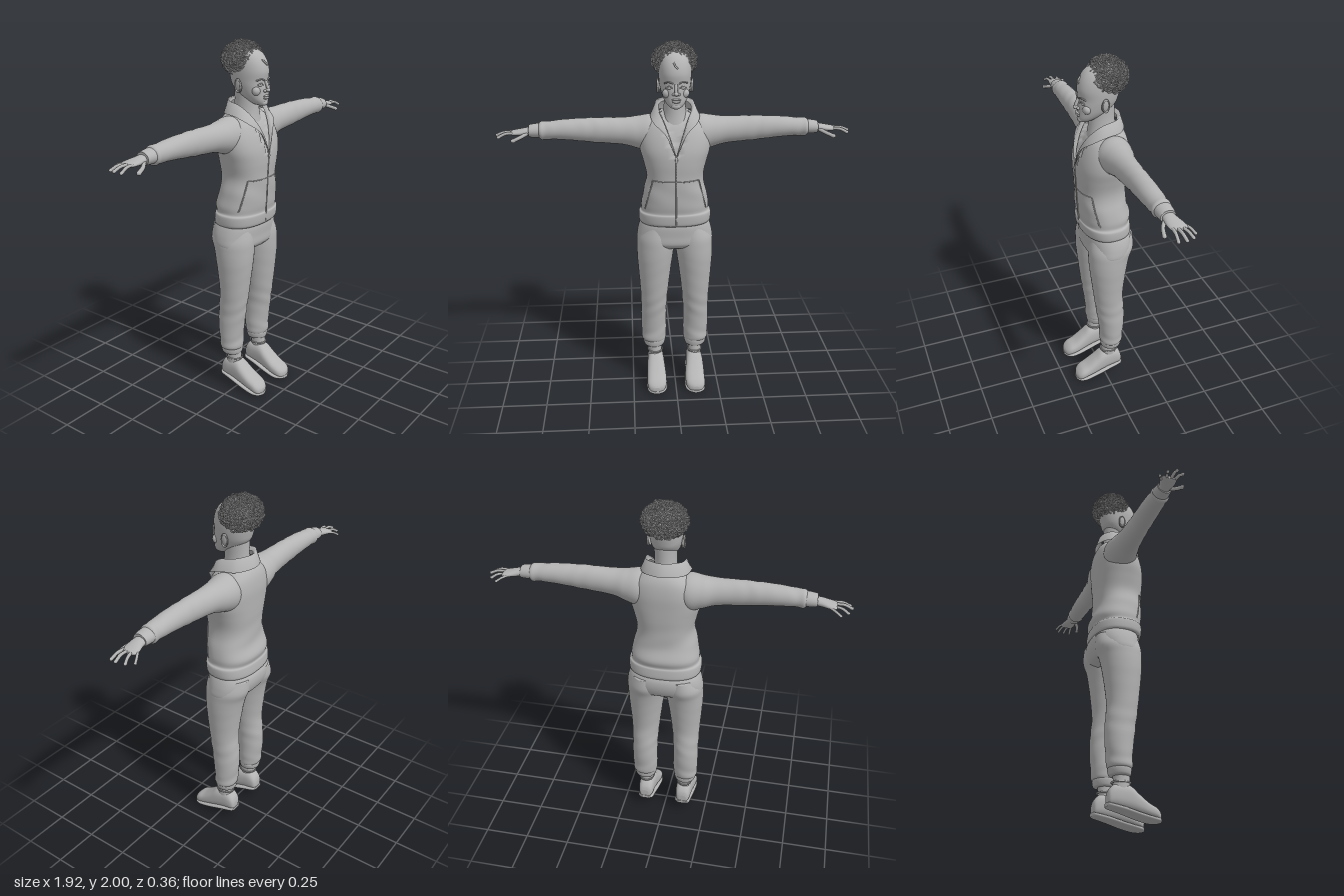
import * as THREE from 'three';
import { mergeGeometries } from 'three/addons/utils/BufferGeometryUtils.js';

const grey = new THREE.MeshStandardMaterial({ color: 0xb4b4b4, side: THREE.DoubleSide });
grey.name = 'plain grey';
const V = (x, y, z) => new THREE.Vector3(x, y, z);

// Smooth interpolation through section rows [t, u0, u1, v0, v1]
function resample(rows, steps) {
  const out = [], last = rows.length - 1;
  for (let i = 0; i < last; i++) {
    const [a, b, c, d] = [rows[Math.max(i - 1, 0)], rows[i], rows[i + 1], rows[Math.min(i + 2, last)]];
    for (let s = 0; s < steps; s++) {
      const k = s / steps;
      out.push(b.map((_, j) => b[j] + 0.5 * k * (c[j] - a[j] +
        k * (2 * a[j] - 5 * b[j] + 4 * c[j] - d[j] + k * (3 * (b[j] - c[j]) + d[j] - a[j])))));
    }
  }
  out.push(rows[last]);
  return out;
}

// Closed skin over rounded cross-sections; place(t, u, v) gives the point in space
function loft(rows, place, { n = 36, steps = 6, pow = 1, fold = () => 0, shape = p => p } = {}) {
  const rings = resample(rows, steps), pos = [], idx = [];
  const bend = c => Math.sign(c) * Math.abs(c) ** pow;
  rings.forEach(([t, u0, u1, v0, v1]) => {
    for (let i = 0; i < n; i++) {
      const a = i / n * Math.PI * 2, r = 1 + fold(t, a);
      const p = place(t, (u0 + u1) / 2 + (u1 - u0) / 2 * r * bend(Math.cos(a)),
        (v0 + v1) / 2 + (v1 - v0) / 2 * r * bend(Math.sin(a)));
      pos.push(...shape(p));
    }
  });
  const m = rings.length;
  for (let j = 0; j < m - 1; j++) for (let i = 0; i < n; i++) {
    const a = j * n + i, b = j * n + (i + 1) % n;
    idx.push(a, a + n, b, b, a + n, b + n);
  }
  [0, m - 1].forEach(j => {
    const [t, u0, u1, v0, v1] = rings[j], c = pos.length / 3;
    pos.push(...place(t, (u0 + u1) / 2, (v0 + v1) / 2));
    for (let i = 0; i < n; i++) {
      const a = j * n + i, b = j * n + (i + 1) % n;
      j ? idx.push(a, c, b) : idx.push(a, b, c);
    }
  });
  // Turn the skin outward when its enclosed volume comes out negative
  let vol = 0;
  const at = i => V(pos[3 * i], pos[3 * i + 1], pos[3 * i + 2]);
  for (let i = 0; i < idx.length; i += 3) vol += at(idx[i]).dot(at(idx[i + 1]).cross(at(idx[i + 2])));
  if (vol < 0) for (let i = 0; i < idx.length; i += 3) [idx[i], idx[i + 1]] = [idx[i + 1], idx[i]];
  const g = new THREE.BufferGeometry();
  g.setAttribute('position', new THREE.Float32BufferAttribute(pos, 3));
  g.setIndex(idx);
  g.computeVertexNormals();
  return g;
}

const upright = (t, u, v) => [u, t, v];
const sym = rows => rows.map(([y, w, zb, zf]) => [y, -w, w, zb, zf]);

// Jacket sections: height, half width, back, front
const jacketRows = sym([[1.015, .19, -.16, .098], [1.03, .2, -.168, .108], [1.075, .2, -.164, .112], [1.09, .187, -.158, .106],
  [1.13, .187, -.166, .112], [1.2, .172, -.145, .117], [1.29, .156, -.142, .12], [1.37, .172, -.147, .125],
  [1.44, .19, -.15, .122], [1.51, .19, -.152, .105], [1.57, .165, -.145, .08], [1.61, .12, -.13, .05], [1.64, .075, -.105, .035]]);
const jacketPow = .85;

// Front surface of the jacket at (x, y)
function onJacket(x, y) {
  const i = Math.max(1, jacketRows.findIndex(r => r[0] >= y));
  const a = jacketRows[i - 1], b = jacketRows[i], k = (y - a[0]) / (b[0] - a[0]);
  const [, , w, zb, zf] = a.map((v, j) => v + (b[j] - v) * k);
  const c = Math.min(1, Math.abs(x / w)) ** (1 / jacketPow);
  return V(x, y, (zb + zf) / 2 + (zf - zb) / 2 * Math.sqrt(1 - c * c) ** jacketPow);
}

export function createModel() {
  const root = new THREE.Group();
  const add = (name, geo, parent = root) => {
    const mesh = new THREE.Mesh(geo, grey);
    mesh.name = name;
    parent.add(mesh);
    return mesh;
  };
  const group = name => { const g = new THREE.Group(); g.name = name; root.add(g); return g; };
  const blob = (name, p, r, parent, tilt = 0) => {
    const m = add(name, new THREE.SphereGeometry(1, 18, 12), parent);
    m.position.set(...p); m.scale.set(...r); m.rotation.z = tilt;
    return m;
  };
  const cord = (name, pts, r, parent) =>
    add(name, new THREE.TubeGeometry(new THREE.CatmullRomCurve3(pts), 24, r, 6), parent);

  // Jacket body with the chest set back inside the open V
  const jacket = group('jacket');
  add('jacketBody', loft(jacketRows, upright, {
    n: 64, pow: jacketPow,
    fold: (y, a) => y < 1.09 ? 0 : .012 * Math.sin(y * 46 + 4 * Math.cos(a)) * Math.max(0, 1 - Math.abs(y - 1.22) / .14),
    shape: ([x, y, z]) => [x, y, z > 0 && y > 1.42 && Math.abs(x) < (y - 1.42) * .4 ? z - .018 : z],
  }), jacket);
  const line = (x0, y0, x1, y1) => Array.from({ length: 9 }, (_, i) => onJacket(x0 + (x1 - x0) * i / 8, y0 + (y1 - y0) * i / 8));
  cord('zip', line(0, 1.03, 0, 1.43), .004, jacket);
  blob('zipPull', [0, 1.405, .128], [.007, .018, .005], jacket);
  cord('pocketTop', line(-.125, 1.28, .125, 1.28), .003, jacket);
  for (const s of [-1, 1]) cord('pocketEdge', line(s * .125, 1.28, s * .168, 1.11), .004, jacket);

  // Collar: a folded ribbon running from the zip, round the neck and back
  const both = half => [...half.map(p => V(...p)), ...half.slice(0, -1).reverse().map(([x, y, z]) => V(-x, y, z))];
  const edges = [
    [[0, 1.42, .125], [.032, 1.52, .1], [.062, 1.6, .06], [.085, 1.65, .01], [.075, 1.675, -.065], [0, 1.68, -.1]],
    [[.002, 1.42, .13], [.036, 1.525, .118], [.07, 1.61, .078], [.102, 1.672, .018], [.09, 1.693, -.075], [0, 1.697, -.118]],
    [[.004, 1.42, .128], [.055, 1.535, .112], [.115, 1.59, .07], [.132, 1.62, .0], [.108, 1.625, -.09], [0, 1.63, -.14]],
  ].map(e => new THREE.CatmullRomCurve3(both(e)));
  const pos = [], idx = [], N = 60;
  for (let i = 0; i <= N; i++) edges.forEach(e => pos.push(...e.getPoint(i / N).toArray()));
  for (let i = 0; i < N; i++) for (let j = 0; j < 2; j++) {
    const a = i * 3 + j;
    idx.push(a, a + 1, a + 3, a + 1, a + 4, a + 3);
  }
  const collar = new THREE.BufferGeometry();
  collar.setAttribute('position', new THREE.Float32BufferAttribute(pos, 3));
  collar.setIndex(idx);
  collar.computeVertexNormals();
  add('collar', collar, jacket);

  // Trousers seat
  add('trouserSeat', loft(sym([[1.04, .18, -.15, .085], [1, .198, -.17, .092], [.95, .211, -.17, .09],
    [.9, .213, -.15, .087], [.87, .18, -.11, .06]]), upright, { n: 48, pow: .85 }));

  for (const s of [-1, 1]) {
    const side = s > 0 ? 'left' : 'right';
    // Sleeve and cuff
    const arm = group(side + 'Arm');
    const along = (t, u, v) => [s * t, u, v];
    add('sleeve', loft([[.06, 1.46, 1.6, -.11, .03], [.13, 1.415, 1.618, -.135, .055], [.2, 1.432, 1.609, -.125, .043],
      [.28, 1.455, 1.602, -.105, .03], [.43, 1.469, 1.603, -.092, .02], [.58, 1.485, 1.597, -.09, .018],
      [.68, 1.49, 1.587, -.086, .012], [.715, 1.487, 1.586, -.087, .013], [.73, 1.505, 1.572, -.078, .0]], along,
    { steps: 8, fold: (x, a) => x < .2 ? 0 : .025 * Math.sin(x * 75 + 3 * Math.sin(a)) * Math.max(.15, 1 - Math.abs(x - .45) / .12, 1 - Math.abs(x - .68) / .08) }), arm);
    add('cuff', loft([[.715, 1.505, 1.572, -.08, .002], [.725, 1.5, 1.577, -.084, .006],
      [.775, 1.502, 1.57, -.08, .002], [.78, 1.508, 1.563, -.075, -.003]], along), arm);
    // Hand and fingers
    add('palm', loft([[.76, 1.512, 1.558, -.07, -.012], [.8, 1.51, 1.552, -.078, -.008], [.84, 1.51, 1.543, -.092, -.008],
      [.87, 1.512, 1.536, -.094, -.014], [.88, 1.518, 1.53, -.086, -.024]], along, { n: 24 }), arm);
    [[[.79, 1.525, -.018], [.825, 1.51, .006], [.862, 1.495, .016], .011],
      [[.862, 1.527, -.022], [.905, 1.525, -.018], [.942, 1.508, -.014], .0085],
      [[.868, 1.527, -.045], [.915, 1.527, -.046], [.952, 1.513, -.05], .0085],
      [[.865, 1.526, -.068], [.905, 1.523, -.08], [.935, 1.507, -.091], .008],
      [[.845, 1.525, -.085], [.875, 1.517, -.106], [.9, 1.502, -.118], .0072]].forEach(([a, b, c, r], i) => {
      const name = i ? 'finger' : 'thumb', p = [a, b, c].map(([x, y, z]) => V(s * x, y, z));
      cord(name, p, r, arm);
      blob(name + 'Tip', p[2].toArray(), [r * 1.2, r, r], arm);
    });

    // Trouser leg, gathered cuff and ankle
    const leg = group(side + 'Leg');
    const down = (t, u, v) => [s * u, t, v];
    add('trouserLeg', loft([[1, .02, .18, -.165, .075], [.93, .002, .211, -.167, .088], [.87, .002, .215, -.145, .089],
      [.8, .012, .214, -.13, .086], [.7, .026, .207, -.115, .075], [.6, .038, .2, -.106, .063], [.5, .047, .196, -.115, .05],
      [.4, .05, .197, -.116, .036], [.32, .05, .195, -.108, .028], [.27, .052, .194, -.105, .028], [.25, .063, .178, -.092, .018]], down,
    { fold: (y, a) => y > .8 ? 0 : .022 * Math.sin(y * 70 + 3 * Math.cos(a)) * Math.max(.12, 1 - Math.abs(y - .5) / .12, 1 - Math.abs(y - .3) / .08) }), leg);
    add('legCuff', loft([[.27, .06, .18, -.09, .018], [.255, .055, .188, -.1, .024], [.225, .063, .18, -.095, .02],
      [.22, .075, .165, -.085, .01]], down), leg);
    add('ankle', loft([[.24, .08, .158, -.074, .015], [.19, .08, .157, -.07, .018], [.13, .08, .157, -.08, .02]], down), leg);

    // Shoe, heel raised and toe pointing down
    const lengthwise = (t, u, v) => [s * u, v, t];
    add('shoe', loft([[-.103, .095, .14, .075, .12], [-.093, .078, .153, .064, .15], [-.065, .07, .16, .058, .178],
      [-.02, .067, .163, .05, .183], [.02, .064, .166, .04, .175], [.06, .06, .168, .03, .14], [.11, .056, .169, .018, .1],
      [.15, .06, .168, .01, .078], [.172, .076, .155, .007, .058], [.182, .1, .132, .015, .042]], lengthwise, { pow: .8 }), leg);
    add('sole', loft([[-.106, .09, .145, .063, .082], [-.09, .071, .158, .056, .08], [-.02, .062, .166, .04, .066],
      [.06, .055, .171, .018, .044], [.13, .053, .172, .003, .028], [.168, .07, .16, 0, .024], [.184, .098, .134, .002, .018]],
    lengthwise, { pow: .7 }), leg);
    const rim = new THREE.TorusGeometry(1, .08, 8, 28);
    rim.rotateX(Math.PI / 2).scale(.043, .06, .05).translate(s * .117, .188, -.028);
    add('shoeCollar', rim, leg);
  }

  // Neck and head
  const head = group('head');
  add('neck', loft(sym([[1.56, .09, -.1, .06], [1.62, .066, -.098, .05], [1.68, .058, -.09, .046], [1.76, .06, -.09, .045]]), upright), head);
  add('skull', loft(sym([[1.672, .018, .05, .094], [1.68, .034, .025, .104], [1.7, .052, -.01, .108], [1.73, .068, -.06, .107],
    [1.765, .078, -.095, .106], [1.8, .084, -.108, .101], [1.85, .087, -.118, .106], [1.9, .083, -.118, .092],
    [1.94, .067, -.1, .062], [1.965, .03, -.06, .015]]), upright, { pow: .92 }), head);
  cord('noseBridge', [V(0, 1.8, .1), V(0, 1.775, .113), V(0, 1.757, .12)], .009, head);
  blob('noseTip', [0, 1.755, .117], [.013, .011, .014], head);
  blob('upperLip', [0, 1.723, .107], [.025, .006, .009], head);
  blob('lowerLip', [0, 1.712, .106], [.022, .007, .01], head);
  blob('chin', [0, 1.687, .096], [.024, .016, .014], head);
  for (const s of [-1, 1]) {
    blob('nostril', [s * .013, 1.751, .107], [.009, .008, .01], head);
    blob('eye', [s * .034, 1.782, .092], [.016, .008, .008], head, s * .1);
    cord('upperLid', [V(s * .017, 1.781, .1), V(s * .034, 1.791, .099), V(s * .053, 1.783, .087)], .003, head);
    cord('eyebrow', [V(s * .015, 1.806, .104), V(s * .036, 1.813, .1), V(s * .06, 1.806, .084)], .004, head);
    blob('cheek', [s * .043, 1.752, .074], [.028, .026, .022], head);
    blob('ear', [s * .088, 1.775, -.008], [.009, .036, .02], head, -s * .15);
    const helix = new THREE.TorusGeometry(1, .16, 8, 20);
    helix.rotateY(Math.PI / 2).scale(.03, .033, .018).translate(s * .093, 1.777, -.01);
    add('earRim', helix, head);
  }

  // Curly hair: many small rings seated on a rounded crown
  const hair = group('hair');
  blob('hairCrown', [0, 1.905, -.05], [.103, .08, .092], hair);
  let seed = 7;
  const rand = () => (seed = (seed * 16807) % 2147483647) / 2147483647;
  const curls = [], count = 620;
  for (let i = 0; i < count; i++) {
    const h = 1 - 1.72 * (i + .5) / count, a = i * 2.39996, q = Math.sqrt(1 - h * h), d = .93 + .1 * rand();
    const p = V(q * Math.cos(a) * .113 * d, 1.902 + h * .089 * d, -.05 + q * Math.sin(a) * .099 * d);
    if (p.y < 1.85 && p.z > -.06 || p.y < 1.8) continue;
    const g = new THREE.TorusGeometry(.008 + .004 * rand(), .0038, 5, 9);
    g.rotateX(rand() * 6.28).rotateY(rand() * 6.28).translate(p.x, p.y, p.z);
    curls.push(g);
  }
  add('curls', mergeGeometries(curls), hair);
  cord('foreheadCurl', [V(-.012, 1.91, .085), V(-.004, 1.895, .101), V(.008, 1.882, .106)], .005, hair);
  return root;
}
